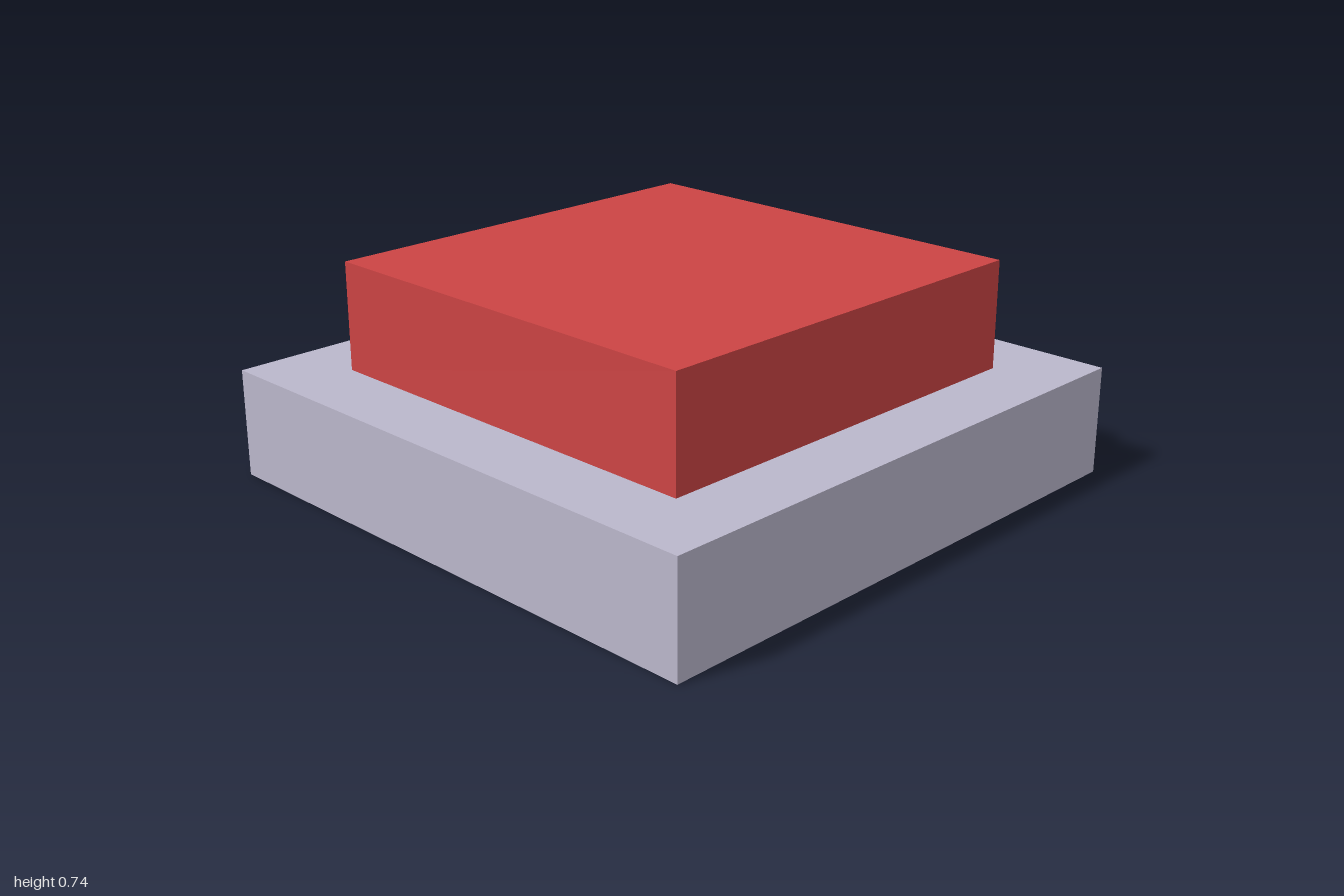
import * as THREE from 'three';

// Square slab standing on height y
function slab(name, width, height, y, color) {
  const mesh = new THREE.Mesh(
    new THREE.BoxGeometry(width, height, width),
    new THREE.MeshStandardMaterial({ color })
  );
  mesh.name = name;
  mesh.position.y = y + height / 2;
  return mesh;
}

export function createModel() {
  const model = new THREE.Group();
  model.name = 'pushButton';
  const height = 0.37;
  // Wide grey base with a narrower red button on top
  model.add(slab('base', 2, height, 0, 0xbbb7cc));
  model.add(slab('button', 1.49, height, height, 0xcc4444));
  return model;
}
